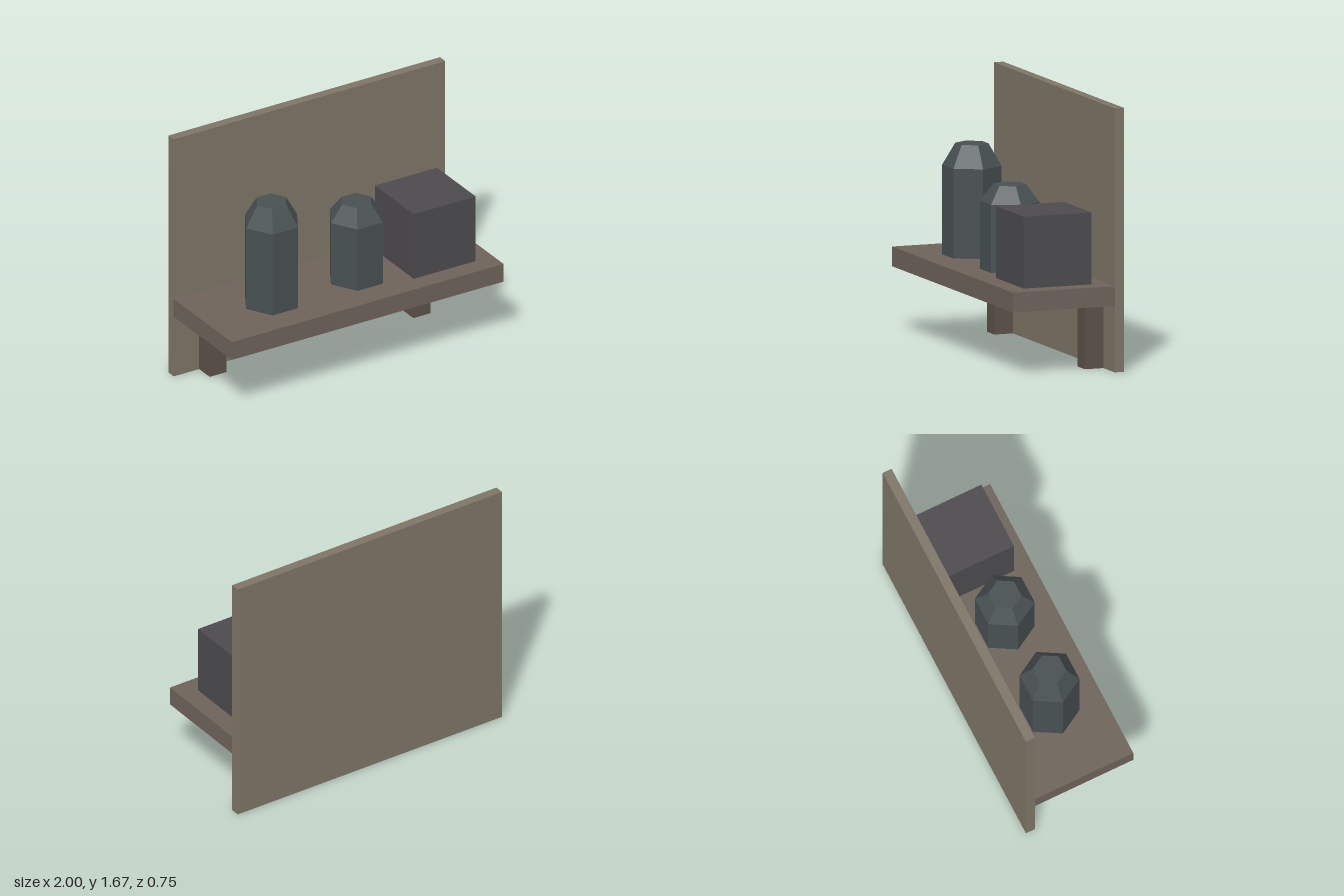
import * as THREE from 'three';

const material = (color) => new THREE.MeshStandardMaterial({ color, flatShading: true });

// Box given by its minimum and maximum corners
function block(name, min, max, mat) {
  const size = max.map((v, i) => v - min[i]);
  const mesh = new THREE.Mesh(new THREE.BoxGeometry(...size), mat);
  mesh.position.set(...max.map((v, i) => (v + min[i]) / 2));
  mesh.name = name;
  return mesh;
}

// Six-sided jar with a sloping shoulder and a flat top
function jar(name, x, shoulder, height, mat) {
  const profile = [[0, 0], [0.1875, 0], [0.1875, shoulder], [0.105, height], [0, height]]
    .map(([r, y]) => new THREE.Vector2(r, y));
  const mesh = new THREE.Mesh(new THREE.LatheGeometry(profile, 6, Math.PI / 6), mat);
  mesh.position.set(x, 0.545, 0.04);
  mesh.name = name;
  return mesh;
}

export function createModel() {
  const model = new THREE.Group();
  model.name = 'wallShelf';
  const panelMat = material(0x7e7567);
  const shelfMat = material(0x6d635a);
  const bracketMat = material(0x5b5148);
  const jarMat = material(0x485052);
  const boxMat = material(0x4c4a4d);

  // Wall panel and shelf board
  model.add(block('backPanel', [-1, 0, -0.375], [1, 1.67, -0.313], panelMat));
  model.add(block('shelfBoard', [-1, 0.42, -0.313], [1, 0.545, 0.375], shelfMat));

  // Brackets under the shelf, against the panel
  for (const [name, x] of [['leftBracket', 0.75], ['rightBracket', -0.75]]) {
    model.add(block(name, [x - 0.0625, 0, -0.313], [x + 0.0625, 0.42, -0.188], bracketMat));
  }

  // Items standing on the shelf
  model.add(jar('tallJar', -0.5, 0.568, 0.708, jarMat));
  model.add(jar('shortJar', 0.125, 0.432, 0.54, jarMat));
  model.add(block('storageBox', [0.417, 0.545, -0.208], [0.873, 1, 0.25], boxMat));

  return model;
}
